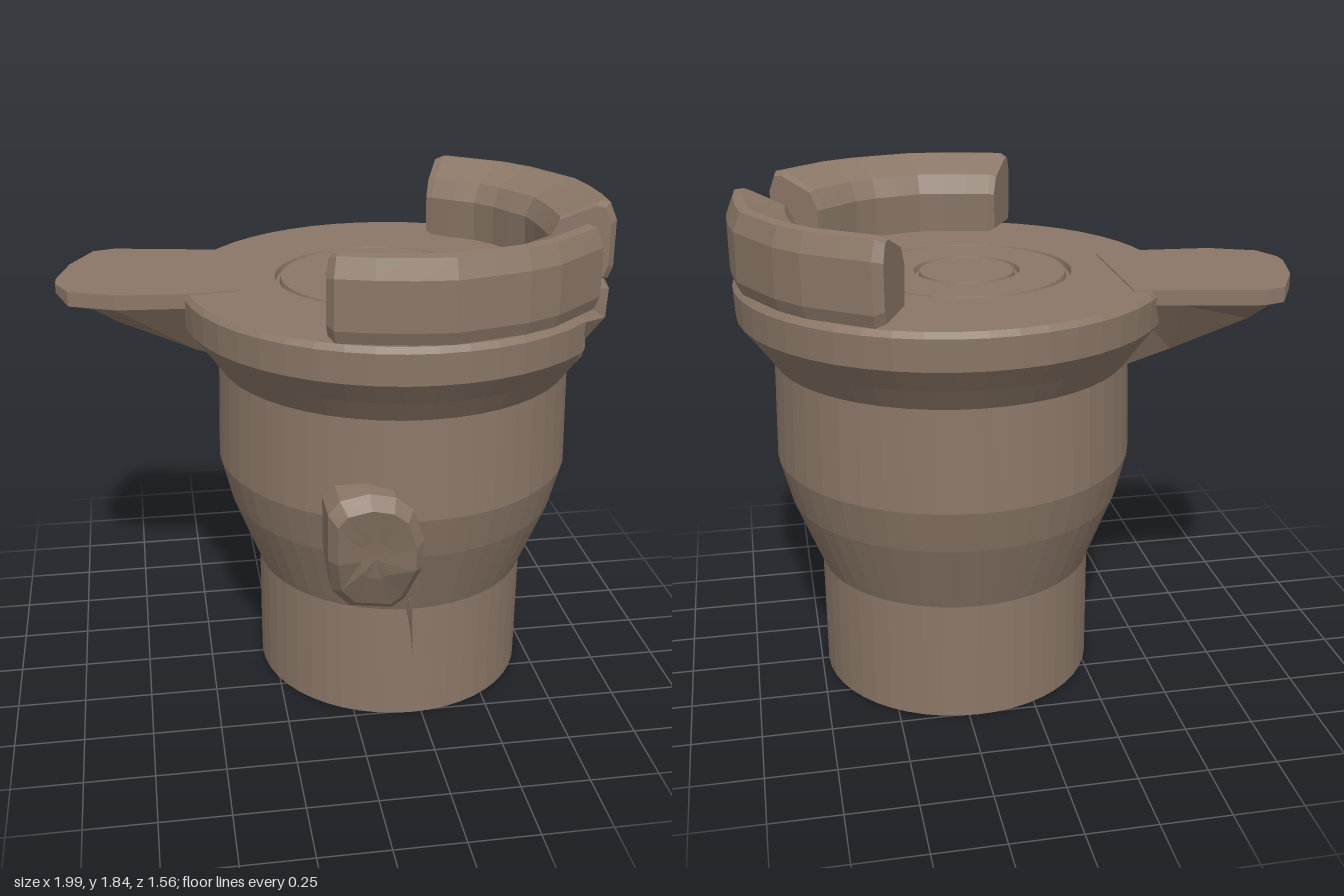
import * as THREE from 'three';

const CX = 0.215; // axis of the round body
const TOP = 1.55;
const DEG = Math.PI / 180;
const mat = new THREE.MeshStandardMaterial({ color: 0x8b7767, flatShading: true, side: THREE.DoubleSide });

function mesh(name, geo, x = 0, y = 0, z = 0) {
  const m = new THREE.Mesh(geo, mat);
  m.name = name;
  m.position.set(x, y, z);
  return m;
}

// Skin a series of closed rings and cap both ends; winding is made to face outward.
function loft(rings) {
  const tris = [];
  const n = rings[0].length;
  for (let i = 0; i < rings.length - 1; i++) {
    for (let j = 0; j < n; j++) {
      const k = (j + 1) % n;
      const a = rings[i][j], b = rings[i][k], c = rings[i + 1][k], d = rings[i + 1][j];
      tris.push([a, b, c], [a, c, d]);
    }
  }
  [rings[0], rings[rings.length - 1]].forEach((ring, end) => {
    const mid = [0, 1, 2].map(q => ring.reduce((s, p) => s + p[q], 0) / n);
    for (let j = 0; j < n; j++) {
      const a = ring[j], b = ring[(j + 1) % n];
      tris.push(end ? [a, b, mid] : [b, a, mid]);
    }
  });
  const V = p => new THREE.Vector3(...p);
  const volume = tris.reduce((s, t) => s + V(t[0]).dot(V(t[1]).cross(V(t[2]))), 0);
  if (volume < 0) tris.forEach(t => t.reverse());
  const geo = new THREE.BufferGeometry();
  geo.setAttribute('position', new THREE.Float32BufferAttribute(tris.flat(2), 3));
  geo.computeVertexNormals();
  return geo;
}

// Broken bite out of the rim: limits the radius over a short arc (angle from +x toward +z)
function bite(r, y, angle) {
  if (angle < 17 * DEG || angle > 38 * DEG || y < 1.33) return r;
  return Math.min(r, THREE.MathUtils.mapLinear(y, 1.34, TOP, 0.715, 0.62));
}

function makeBody() {
  const profile = [[0.51, 0], [0.51, 0.45], [0.615, 0.72], [0.655, 0.88], [0.645, 1.25],
    [0.705, 1.335], [0.77, 1.42], [0.775, 1.53], [0.76, TOP]];
  const geo = new THREE.LatheGeometry(profile.map(p => new THREE.Vector2(...p)), 48);
  const pos = geo.attributes.position;
  for (let i = 0; i < pos.count; i++) {
    const x = pos.getX(i), y = pos.getY(i), z = pos.getZ(i);
    const r = Math.hypot(x, z), s = bite(r, y, Math.atan2(z, x)) / r;
    pos.setXYZ(i, x * s, y, z * s);
  }
  geo.computeVertexNormals();
  return mesh('body', geo, CX);
}

// Flat top with a round opening that the grooved disc fills
const DISC = { x: 0.16, z: -0.02, r: 0.4 };
function makeTop() {
  const pts = [];
  for (let i = 0; i < 48; i++) {
    const a = (i * 7.5 > 180 ? i * 7.5 - 360 : i * 7.5) * DEG;
    const r = bite(0.76, TOP, a);
    pts.push(new THREE.Vector2(r * Math.cos(a), -r * Math.sin(a)));
  }
  const shape = new THREE.Shape(pts);
  shape.holes.push(new THREE.Path().absarc(DISC.x - CX, -DISC.z, DISC.r, 0, Math.PI * 2, true));
  const geo = new THREE.ShapeGeometry(shape, 24);
  geo.rotateX(-Math.PI / 2);
  return mesh('topSurface', geo, CX, TOP);
}

function makeGroovedDisc() {
  const pts = [[DISC.r, 0]];
  for (const r of [0.365, 0.18]) pts.push([r + 0.011, 0], [r + 0.006, -0.02], [r - 0.006, -0.02], [r - 0.011, 0]);
  pts.push([0, 0]);
  const geo = new THREE.LatheGeometry(pts.map(p => new THREE.Vector2(...p)), 48);
  return mesh('groovedDisc', geo, DISC.x, TOP, DISC.z);
}

// Curved wall piece standing on the rim, with chamfered upper edges and narrowed ends
function makeWall(name, from, to) {
  const section = [[0.555, 1.56], [0.545, 1.71], [0.58, 1.78], [0.72, 1.84], [0.755, 1.835],
    [0.782, 1.77], [0.782, 1.6], [0.765, 1.555]];
  const steps = 10;
  const rings = [];
  for (let i = 0; i <= steps; i++) {
    // the second and second-last rings sit close to the ends as a bevel
    const t = i === 0 ? 0 : i === steps ? 1 : THREE.MathUtils.mapLinear(i, 1, steps - 1, 0.03, 0.97);
    const s = i === 0 || i === steps ? 0.9 : 1;
    rings.push(section.map(([r, y]) => {
      const rr = 0.67 + (r - 0.67) * s + 0.006 * Math.sin(i * 2.3);
      const yy = 1.7 + (y - 1.7) * s;
      const a = (from + (to - from) * t) * DEG;
      return [rr * Math.cos(a), yy, rr * Math.sin(a)];
    }));
  }
  return mesh(name, loft(rings), CX);
}

// Wedge-shaped lip: x, back z, front z, underside height
function makeSpout() {
  const y = TOP + 0.004;
  const stations = [[-1, -0.13, -0.07, 1.52], [-0.955, -0.31, 0.03, 1.495], [-0.87, -0.475, 0.065, 1.45],
    [-0.79, -0.5, 0.1, 1.41], [-0.52, -0.45, 0.12, 1.3], [-0.35, -0.42, 0.1, 1.24]];
  return mesh('spout', loft(stations.map(([x, b, f, low]) => {
    const mid = (b + f) / 2, half = (f - b) * 0.25, side = Math.max(1.5, low);
    return [[x, y, b], [x, y, f], [x, side, f], [x, low, mid + half], [x, low, mid - half], [x, side, b]];
  })));
}

// Rough knob on the front, leaning in toward its lower end, with a hollowed face
function makeKnob() {
  const outline = [[-0.13, 0.95], [-0.09, 1.0], [0.01, 1.02], [0.1, 1.0], [0.16, 0.95], [0.205, 0.82],
    [0.205, 0.7], [0.17, 0.52], [0.13, 0.465], [-0.03, 0.5], [-0.1, 0.6], [-0.125, 0.76]];
  const front = y => (y > 0.94 ? 0.735 : y > 0.7 ? 0.69 + (y - 0.7) * 0.19 : 0.69 - (0.7 - y) * 0.62);
  const ring = (scale, depth) => outline.map(([x, y]) => {
    const px = 0.035 + (x - 0.035) * scale, py = 0.75 + (y - 0.75) * scale;
    return [px, py, front(py) - depth];
  });
  return mesh('frontKnob', loft([ring(1, 0.2), ring(1, 0.035), ring(0.82, 0), ring(0.3, 0.02)]));
}

// Thin splinter lying on the surface, tapering from top to bottom
function makeSplinter([x0, y0, z0], [x1, y1, z1], w) {
  return mesh('splinter', loft([
    [[x0 - w, y0, z0 - 0.02], [x0 + w, y0, z0 - 0.02], [x0, y0, z0 + 0.012]],
    [[x1 - 0.002, y1, z1 - 0.02], [x1 + 0.002, y1, z1 - 0.02], [x1, y1, z1 + 0.004]],
  ]));
}

export function createModel() {
  const g = new THREE.Group();
  g.name = 'stump';
  g.add(makeBody(), makeTop(), makeGroovedDisc(), makeSpout(), makeKnob());
  g.add(makeWall('frontWall', 37, 117), makeWall('leftWall', -66, 14.5));
  g.add(makeSplinter([0.19, 0.5, 0.525], [0.21, 0.26, 0.508], 0.018));
  g.add(makeSplinter([-0.18, 0.6, 0.41], [-0.22, 0.95, 0.485], 0.012));
  return g;
}
